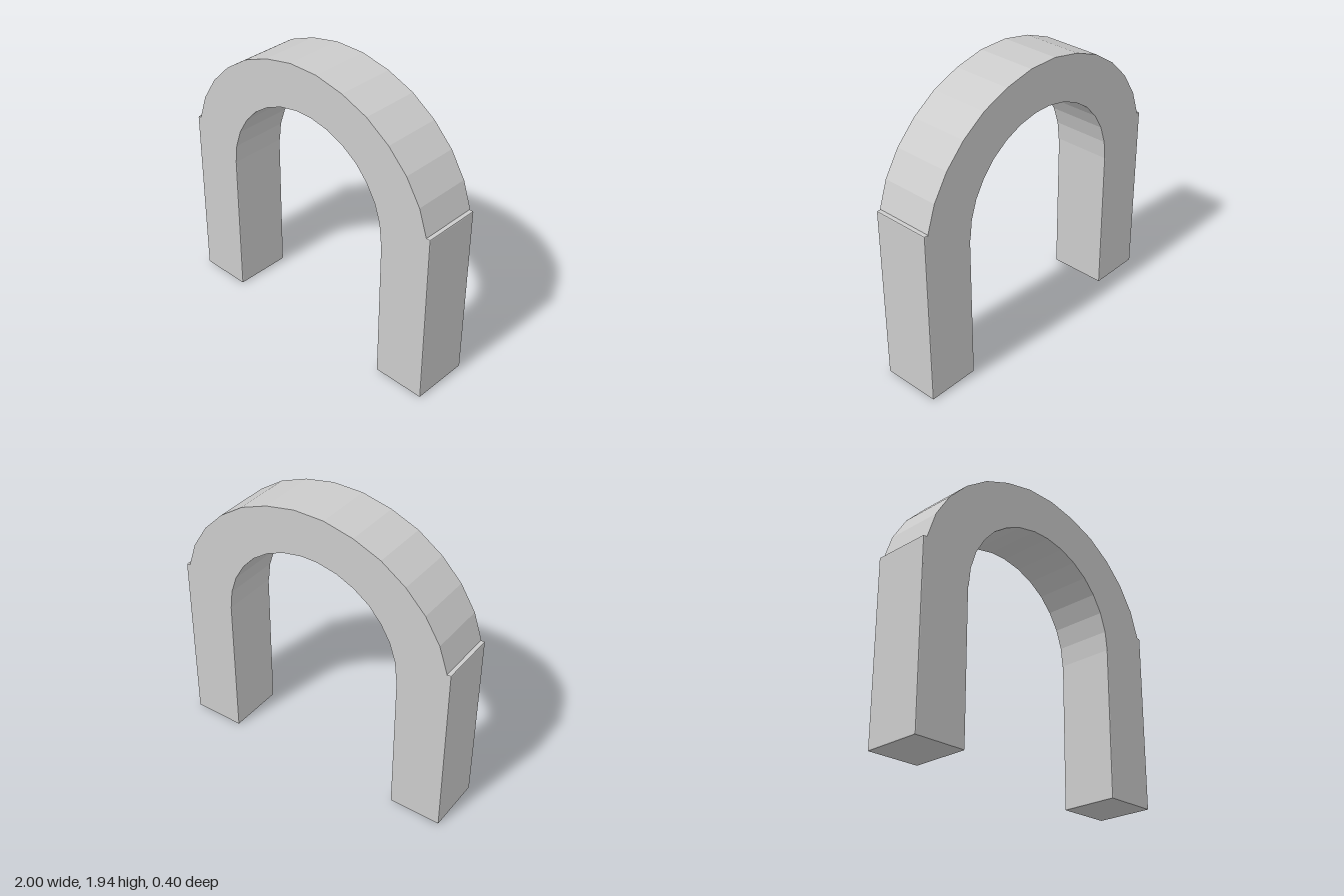
import * as THREE from 'three';
import { RoundedBoxGeometry } from 'three/addons/geometries/RoundedBoxGeometry.js';

const material = new THREE.MeshStandardMaterial({ color: 0xcccccc, flatShading: true });
const DEPTH = 0.4;

// Right half of each arch edge, from springing line to crown
const OUTER = [[0.995, 1.02], [0.973, 1.22], [0.912, 1.4], [0.808, 1.565], [0.67, 1.705],
  [0.5, 1.82], [0.31, 1.895], [0.105, 1.938]];
const INNER = [[0.637, 1.02], [0.622, 1.15], [0.58, 1.275], [0.512, 1.388], [0.425, 1.483],
  [0.318, 1.557], [0.196, 1.61], [0.06, 1.637]];

// Full edge from right to left, mirrored across x = 0
function fullEdge(half) {
  const mirrored = half.map(([x, y]) => [-x, y]).reverse();
  return [...half, ...mirrored].map(([x, y]) => new THREE.Vector2(x, y));
}

export function createModel() {
  const group = new THREE.Group();
  group.name = 'archway';

  // Faceted arch band
  const band = new THREE.Shape([...fullEdge(OUTER), ...fullEdge(INNER).reverse()]);
  const archGeometry = new THREE.ExtrudeGeometry(band, { depth: DEPTH, bevelEnabled: false });
  archGeometry.translate(0, 0, -DEPTH / 2);
  const arch = new THREE.Mesh(archGeometry, material);
  arch.name = 'arch';
  group.add(arch);

  // Two pillars with slightly chamfered edges
  const width = 0.363, height = 1.222;
  const pillarGeometry = new RoundedBoxGeometry(width, height, DEPTH, 1, 0.007);
  for (const [name, side] of [['leftPillar', 1], ['rightPillar', -1]]) {
    const pillar = new THREE.Mesh(pillarGeometry, material);
    pillar.name = name;
    pillar.position.set(side * (1 - width / 2), height / 2, 0);
    group.add(pillar);
  }
  return group;
}
